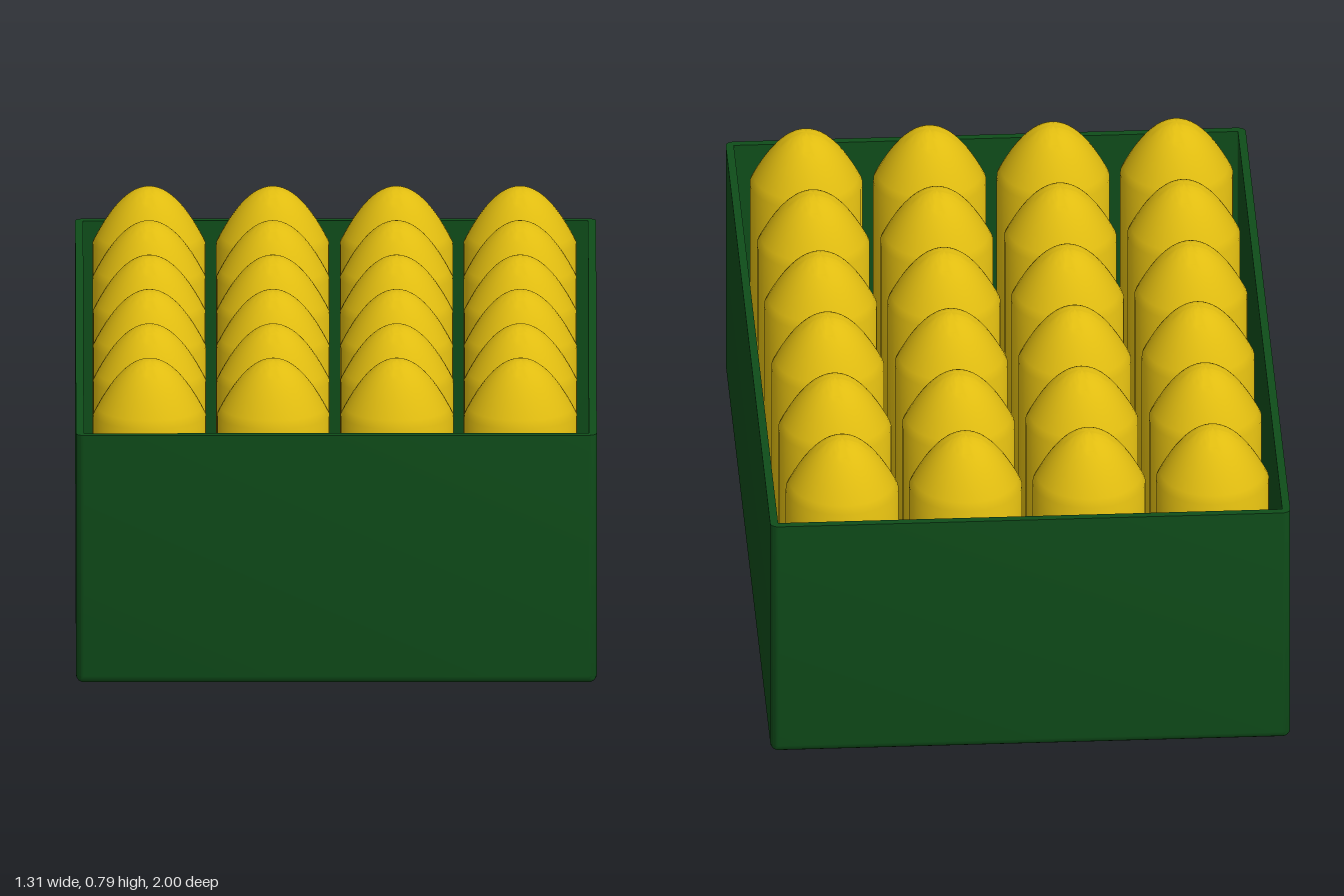
import * as THREE from 'three';
import { toCreasedNormals } from 'three/addons/utils/BufferGeometryUtils.js';

const W = 1.31, H = 0.65, D = 2, R = 0.02, WALL = 0.02;

// Rounded-rectangle rings swept along an [inset, height, scale] profile
function trayGeometry() {
  const profile = [[R, 0, 0], [R, 0, 1]];
  for (let i = 1; i <= 4; i++) {
    const a = (i / 4) * Math.PI / 2;
    profile.push([R * (1 - Math.sin(a)), R * (1 - Math.cos(a)), 1]);
  }
  profile.push([0, H, 1], [WALL, H, 1], [WALL, 0.03, 1], [WALL, 0.03, 0]);

  const seg = 5, n = 4 * seg, pos = [], index = [];
  for (const [inset, y, s] of profile) {
    const r = Math.max(R - inset, 0.001);
    for (let c = 0; c < 4; c++) {
      const sx = c === 0 || c === 3 ? 1 : -1, sz = c < 2 ? 1 : -1;
      for (let k = 0; k < seg; k++) {
        const a = (c + k / (seg - 1)) * Math.PI / 2;
        pos.push(s * (sx * (W / 2 - inset - r) + r * Math.cos(a)), y,
          s * (sz * (D / 2 - inset - r) + r * Math.sin(a)));
      }
    }
  }
  for (let i = 0; i < profile.length - 1; i++) {
    for (let j = 0; j < n; j++) {
      const a = i * n + j, b = i * n + (j + 1) % n;
      index.push(a, a + n, b, b, a + n, b + n);
    }
  }
  const g = new THREE.BufferGeometry();
  g.setAttribute('position', new THREE.Float32BufferAttribute(pos, 3));
  g.setIndex(index);
  return toCreasedNormals(g, 0.6);
}

// Upright round body with a parabolic domed top
function domedBodyGeometry() {
  const r = 0.142, base = 0.032, shoulder = 0.645, top = 0.79;
  const pts = [[0, base], [r - 0.015, base], [r, base + 0.015], [r, shoulder]];
  for (let i = 1; i <= 14; i++) {
    const k = 1 - i / 14;
    pts.push([r * k, top - (top - shoulder) * k * k]);
  }
  const g = new THREE.LatheGeometry(pts.map(([x, y]) => new THREE.Vector2(x, y)), 40);
  return toCreasedNormals(g, 0.6);
}

export function createModel() {
  const model = new THREE.Group();
  model.name = 'filledCrate';
  const green = new THREE.MeshStandardMaterial({ color: 0x0f4d1a });
  const yellow = new THREE.MeshStandardMaterial({ color: 0xe0bc10 });

  // Open crate
  const crate = new THREE.Mesh(trayGeometry(), green);
  crate.name = 'crate';
  model.add(crate);

  // Four by six grid of domed contents
  const contents = new THREE.Group();
  contents.name = 'contents';
  const body = domedBodyGeometry();
  for (let i = 0; i < 4; i++) {
    for (let j = 0; j < 6; j++) {
      const m = new THREE.Mesh(body, yellow);
      m.name = `domedBody_${i}_${j}`;
      m.position.set(-0.003 + (i - 1.5) * 0.311, 0, -0.005 + (j - 2.5) * 0.317);
      contents.add(m);
    }
  }
  model.add(contents);
  return model;
}
